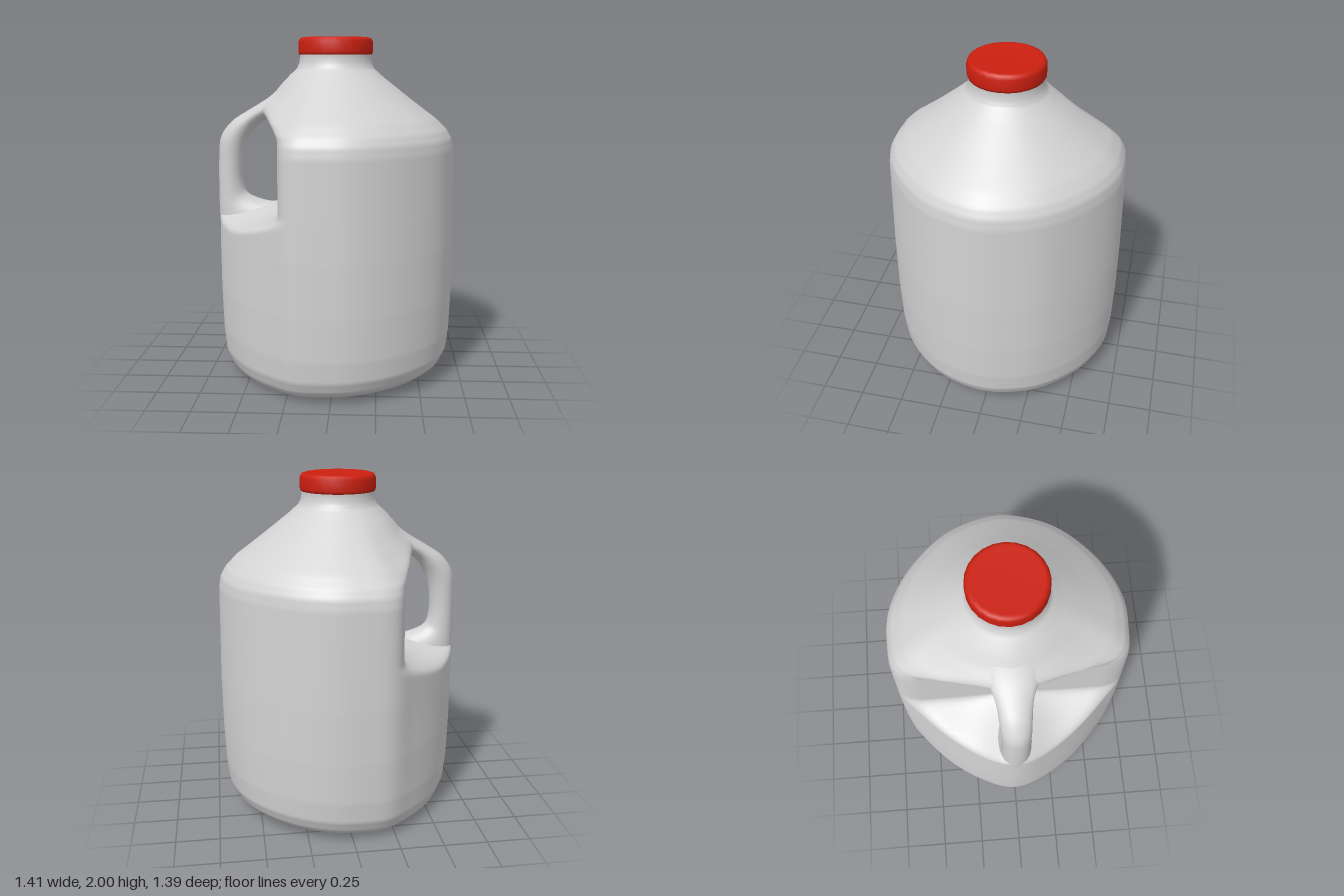
import * as THREE from 'three';

const SEG = 128;
const { smoothstep } = THREE.MathUtils;

// Skin a list of closed rings (each an array of Vector3) into one smooth surface
function loft(rings, material, name) {
  const n = rings[0].length, pos = [], index = [];
  rings.forEach(r => r.forEach(p => pos.push(p.x, p.y, p.z)));
  for (let j = 0; j < rings.length - 1; j++) {
    for (let i = 0; i < n; i++) {
      const a = j * n + i, b = j * n + (i + 1) % n;
      index.push(a, a + n, b, b, a + n, b + n);
    }
  }
  const g = new THREE.BufferGeometry();
  g.setAttribute('position', new THREE.Float32BufferAttribute(pos, 3));
  g.setIndex(index);
  g.computeVertexNormals();
  const mesh = new THREE.Mesh(g, material);
  mesh.name = name;
  return mesh;
}

// Plan outline: round on the right, gently flattened towards the handle on the left
function planOutline() {
  const half = [[0.67, 0.18], [0.58, 0.36], [0.35, 0.575], [0.12, 0.68], [-0.06, 0.69], [-0.22, 0.665],
    [-0.35, 0.54], [-0.48, 0.395], [-0.6, 0.23], [-0.68, 0.09]];
  const pts = [[0.705, 0], ...half, [-0.7, 0], ...half.slice().reverse().map(([x, z]) => [x, -z])];
  const curve = new THREE.CatmullRomCurve3(pts.map(([x, z]) => new THREE.Vector3(x, 0, z)), true);
  return curve.getSpacedPoints(SEG).slice(0, SEG);
}

// Leftmost x the body may reach: shelf, flat wall, then an overhang into the shoulder
function recessLimit(y, z) {
  const middle = Math.exp(-((z / 0.18) ** 2));
  const cut = smoothstep(y, 0.77 + 0.15 * middle, 1.04 + 0.02 * middle);
  const overhang = smoothstep(y, 1.42, 1.66);
  return -0.85 + 0.56 * cut - (0.16 + 0.06 * middle) * overhang;
}

// Larger of two values with a rounded corner of width w
function softMax(a, b, w) {
  const h = Math.max(w - Math.abs(a - b), 0) / w;
  return Math.max(a, b) + h * h * w / 4;
}

function bottleBody(material) {
  // height, scale of the outline, blend towards a circle
  const profile = [
    [0.05, 0, 0.5], [0.05, 0.5, 0.5], [0.03, 0.64, 0.5], [0.004, 0.72, 0.5], [0, 0.78, 0.5], [0.012, 0.86, 0.5],
    [0.05, 0.92, 0.45], [0.12, 0.965, 0.4], [0.25, 0.985, 0.35], [0.5, 0.997, 0.25], [0.8, 1, 0.1], [1.36, 0.985, 0],
    [1.42, 0.97, 0.05], [1.47, 0.93, 0.1], [1.53, 0.845, 0.2], [1.65, 0.62, 0.5], [1.77, 0.405, 0.85],
    [1.82, 0.325, 1], [1.85, 0.305, 1], [1.88, 0.298, 1], [1.92, 0.3, 1], [1.93, 0.1, 1],
  ];
  const outline = planOutline();
  const rings = [];
  const addRing = (y, s, k) => rings.push(outline.map(p => {
    const circle = p.clone().setLength(0.7);
    const q = p.clone().lerp(circle, k).multiplyScalar(s);
    // shoulder is a little lower on the handle side
    if (q.x < 0) q.x *= 1 - 0.1 * smoothstep(y, 1.45, 1.6) * (1 - smoothstep(y, 1.65, 1.8));
    q.x = softMax(q.x, recessLimit(y, q.z), 0.08);
    // slightly tilted base
    q.y = y + 0.04 * Math.max(0, q.x + 0.5) * Math.max(0, 1 - y / 0.4);
    return q;
  }));
  for (let j = 0; j < profile.length - 1; j++) {
    const a = profile[j], b = profile[j + 1];
    const steps = Math.max(1, Math.ceil((b[0] - a[0]) / 0.015));
    for (let t = 0; t < steps; t++) addRing(...a.map((v, i) => v + (b[i] - v) * t / steps));
  }
  addRing(...profile[profile.length - 1]);
  return loft(rings, material, 'bottleBody');
}

function handle(material) {
  // outer x, outer y, inner x, inner y, half width
  const sections = [
    [-0.16, 1.8, -0.2, 1.45, 0.2], [-0.27, 1.755, -0.29, 1.46, 0.2], [-0.4, 1.65, -0.37, 1.535, 0.14],
    [-0.53, 1.57, -0.45, 1.5, 0.1], [-0.62, 1.51, -0.505, 1.435, 0.09], [-0.685, 1.42, -0.54, 1.36, 0.085],
    [-0.7, 1.28, -0.558, 1.25, 0.08], [-0.703, 1.12, -0.555, 1.14, 0.08], [-0.703, 0.98, -0.53, 1.08, 0.085],
    [-0.698, 0.88, -0.42, 1.035, 0.1], [-0.67, 0.76, -0.3, 1.02, 0.11], [-0.58, 0.64, -0.2, 0.95, 0.1],
  ];
  // smooth the outer edge, inner edge and width along the handle
  const outer = new THREE.CatmullRomCurve3(sections.map(s => new THREE.Vector3(s[0], s[1], s[4])));
  const inner = new THREE.CatmullRomCurve3(sections.map(s => new THREE.Vector3(s[2], s[3], 0)));
  const rings = [];
  for (let j = 0; j <= 55; j++) {
    const o = outer.getPoint(j / 55), i = inner.getPoint(j / 55), ring = [];
    for (let k = 0; k < 28; k++) {
      const a = k / 28 * Math.PI * 2, c = Math.cos(a) / 2;
      ring.push(new THREE.Vector3(
        (o.x + i.x) / 2 + c * (o.x - i.x),
        (o.y + i.y) / 2 + c * (o.y - i.y),
        Math.sin(a) * o.z));
    }
    rings.push(ring);
  }
  return loft(rings, material, 'handle');
}

function screwCap(material) {
  const profile = [[0.17, 1.9], [0.212, 1.9], [0.218, 1.915], [0.218, 1.975], [0.208, 1.994], [0.19, 2], [0.175, 1.993], [0, 1.993]];
  const g = new THREE.LatheGeometry(profile.map(p => new THREE.Vector2(...p)), 24);
  const mesh = new THREE.Mesh(g, material);
  mesh.name = 'cap';
  return mesh;
}

export function createModel() {
  const plastic = new THREE.MeshStandardMaterial({ color: 0xd2d2d2 });
  plastic.name = 'palePlastic';
  const red = new THREE.MeshStandardMaterial({ color: 0xcc2010 });
  red.name = 'redPlastic';

  const jug = new THREE.Group();
  jug.name = 'jug';
  jug.add(bottleBody(plastic), handle(plastic), screwCap(red));
  return jug;
}
